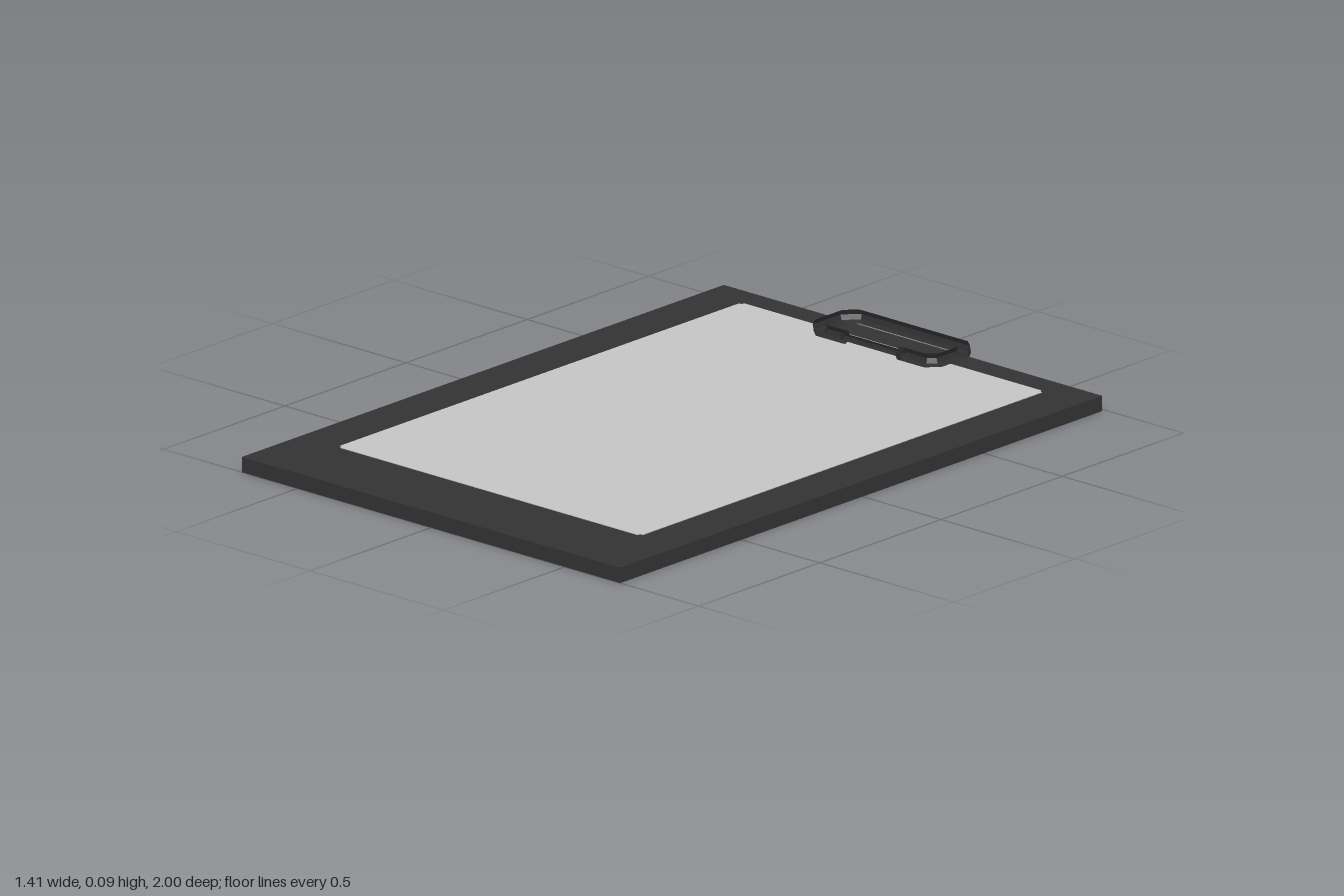
import * as THREE from 'three';

const boardMat = new THREE.MeshStandardMaterial({ color: 0x333333 });
boardMat.name = 'dark board';
const paperMat = new THREE.MeshStandardMaterial({ color: 0xc4c4c4 });
paperMat.name = 'pale grey paper';
const clipMat = new THREE.MeshStandardMaterial({ color: 0x2e2e2e });
clipMat.name = 'dark clip';

// Faceted bar swept along a flat open path of [x, z] points, with mitred corners
function sweptBar(path, y, radius, sides = 8) {
  const pts = path.map(([x, z]) => new THREE.Vector2(x, z));
  const positions = [], index = [];
  pts.forEach((p, i) => {
    const a = (i > 0 ? p.clone().sub(pts[i - 1]) : pts[1].clone().sub(p)).normalize();
    const b = (i < pts.length - 1 ? pts[i + 1].clone().sub(p) : a.clone()).normalize();
    const t = a.clone().add(b).normalize();
    const stretch = radius / t.dot(a);
    for (let s = 0; s < sides; s++) {
      const ang = (s / sides) * Math.PI * 2;
      const out = Math.cos(ang) * stretch;
      positions.push(p.x - t.y * out, y + Math.sin(ang) * radius, p.y + t.x * out);
    }
  });
  for (let i = 0; i < pts.length - 1; i++) {
    for (let s = 0; s < sides; s++) {
      const n = (s + 1) % sides;
      const a = i * sides + s, b = i * sides + n, c = a + sides, d = b + sides;
      index.push(a, b, c, b, d, c);
    }
  }
  // End caps
  const last = (pts.length - 1) * sides;
  for (let s = 1; s < sides - 1; s++) {
    index.push(0, s + 1, s, last, last + s, last + s + 1);
  }
  const geo = new THREE.BufferGeometry();
  geo.setAttribute('position', new THREE.Float32BufferAttribute(positions, 3));
  geo.setIndex(index);
  const flat = geo.toNonIndexed();
  flat.computeVertexNormals();
  return flat;
}

function addMesh(parent, name, geometry, material) {
  const mesh = new THREE.Mesh(geometry, material);
  mesh.name = name;
  parent.add(mesh);
  return mesh;
}

export function createModel() {
  const model = new THREE.Group();
  model.name = 'clipboard';

  // Backing board
  addMesh(model, 'board', new THREE.BoxGeometry(1.414, 0.045, 1.988), boardMat)
    .position.set(0, 0.0225, 0.006);

  // Paper sheet with tiny notched corners
  const w = 0.566, h = 0.833, n = 0.01;
  const sheet = new THREE.Shape([
    [w - n, -h], [w - n, n - h], [w, n - h], [w, h - n], [w - n, h - n], [w - n, h],
    [n - w, h], [n - w, h - n], [-w, h - n], [-w, n - h], [n - w, n - h], [n - w, -h],
  ].map(([x, y]) => new THREE.Vector2(x, y)));
  const sheetGeo = new THREE.ExtrudeGeometry(sheet, { depth: 0.002, bevelEnabled: false });
  sheetGeo.rotateX(-Math.PI / 2);
  addMesh(model, 'paper', sheetGeo, paperMat).position.set(0, 0.045, -0.072);

  // Wire clip: heavy frame open at the front, bridged by a thin rod
  const clip = new THREE.Group();
  clip.name = 'clip';
  model.add(clip);
  const x = 0.224, back = -0.98, front = -0.822, c = 0.03, gap = 0.103, y = 0.0725;
  const half = [
    [gap, front], [x - c, front], [x, front - c], [x, back + c], [x - c, back],
  ];
  const mirrored = half.map(([px, pz]) => [-px, pz]).reverse();
  addMesh(clip, 'clipFrame', sweptBar([...half, ...mirrored], y, 0.02), clipMat);
  addMesh(clip, 'clipRod', sweptBar([[gap + 0.01, front], [-gap - 0.01, front]], y, 0.011), clipMat);

  return model;
}
